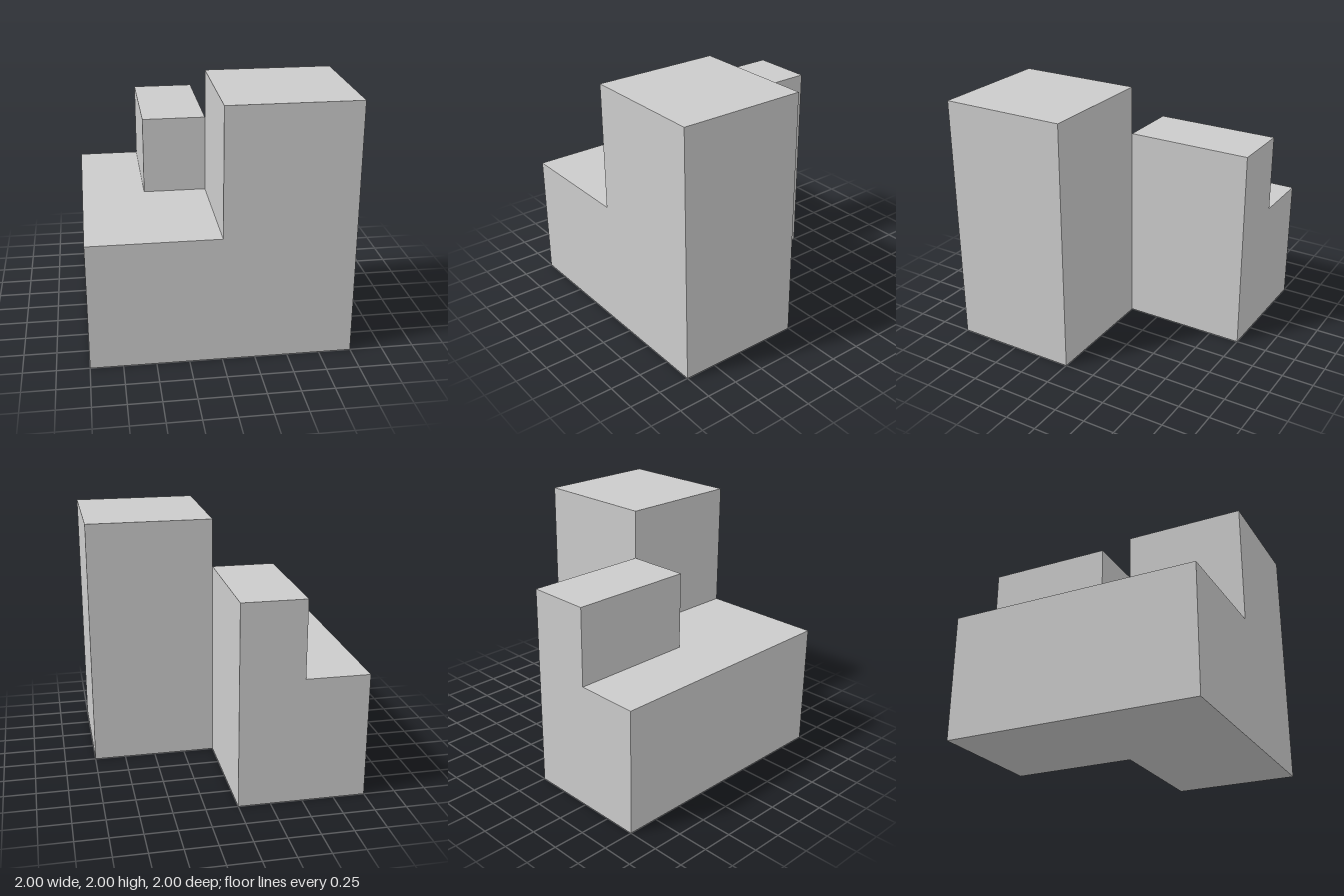
import * as THREE from 'three';

const material = new THREE.MeshStandardMaterial({ color: 0xcccccc, flatShading: true });

// Extrudes a stepped front outline one unit towards +z, starting at zBack
function steppedBlock(name, outline, zBack) {
  const shape = new THREE.Shape(outline.map(([x, y]) => new THREE.Vector2(x, y)));
  const geometry = new THREE.ExtrudeGeometry(shape, { depth: 1, bevelEnabled: false });
  geometry.translate(0, 0, zBack);
  const mesh = new THREE.Mesh(geometry, material);
  mesh.name = name;
  return mesh;
}

export function createModel() {
  const model = new THREE.Group();
  model.name = 'steppedBuilding';

  // Front half: low wing on the right, tall tower on the left
  model.add(steppedBlock('frontWingAndTower',
    [[-1, 0], [1, 0], [1, 2], [0, 2], [0, 1], [-1, 1]], 0));

  // Rear half: the low wing continues, with a raised block along its inner side
  model.add(steppedBlock('rearWingAndRaisedBlock',
    [[-1, 0], [0, 0], [0, 1.615], [-0.5, 1.615], [-0.5, 1], [-1, 1]], -1));

  return model;
}
